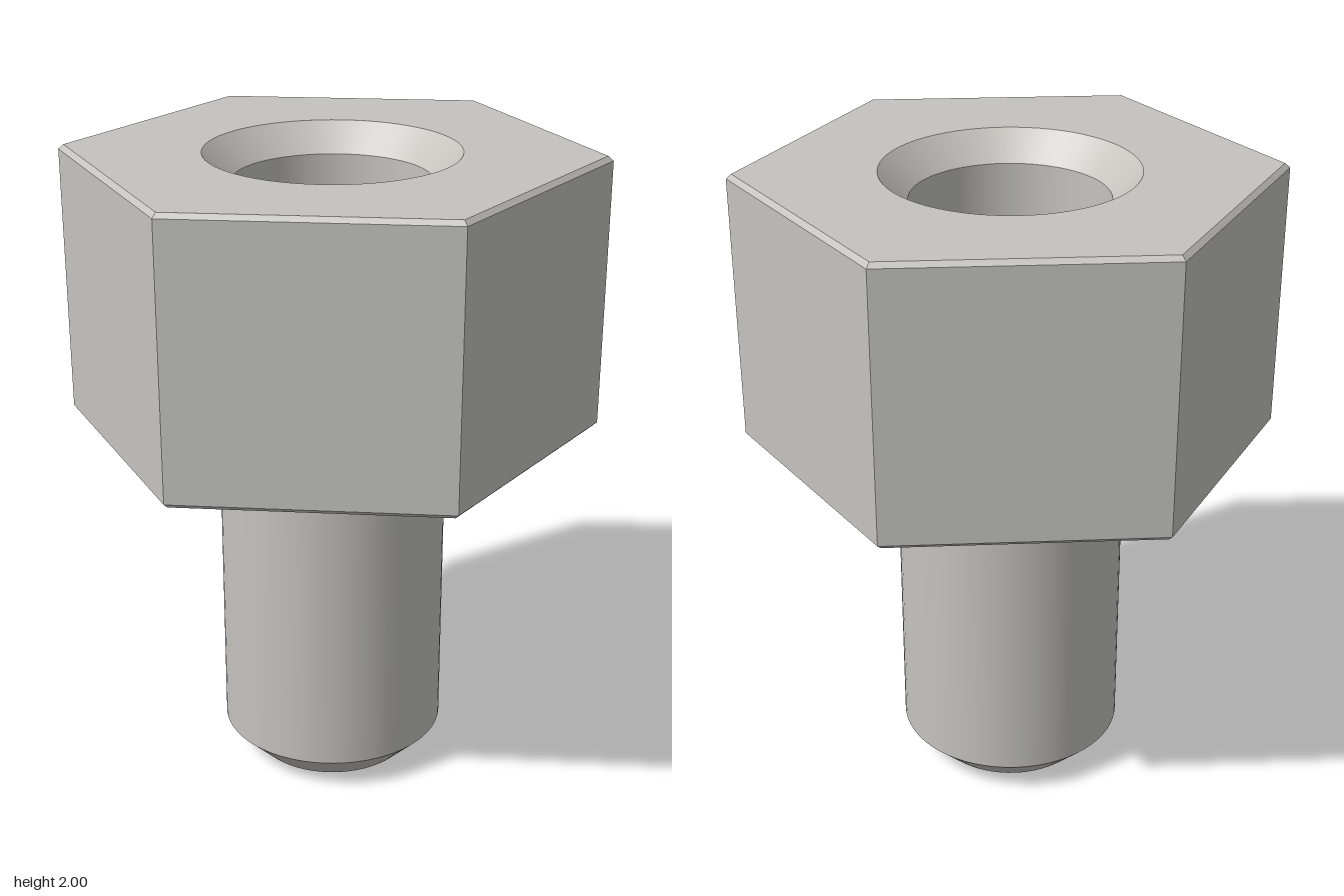
import * as THREE from 'three';
import { mergeGeometries } from 'three/addons/utils/BufferGeometryUtils.js';

// Revolve a profile of [radius, y] points, with a crisp edge at every point.
// Rising profiles face outward, falling ones inward.
function turned(profile, sides = 64) {
  const bands = [];
  for (let i = 0; i < profile.length - 1; i++) {
    const pts = [profile[i], profile[i + 1]].map(([r, y]) => new THREE.Vector2(r, y));
    let band = new THREE.LatheGeometry(pts, sides, Math.PI / 2);
    if (sides === 6) {
      band = band.toNonIndexed();
      band.computeVertexNormals(); // flat hexagon faces
    }
    bands.push(band);
  }
  return mergeGeometries(bands);
}

export function createModel() {
  const group = new THREE.Group();
  const steel = new THREE.MeshStandardMaterial({ color: 0xc4c3be });
  steel.name = 'steel grey';
  const add = (name, geometry) => {
    const mesh = new THREE.Mesh(geometry, steel);
    mesh.name = name;
    group.add(mesh);
    return mesh;
  };

  const R = 0.823, bevel = 0.014, rIn = R - bevel * 1.155;
  const headBottom = 1.147, top = 2;
  const holeR = 0.3, sinkR = 0.387, floorY = 1.25;

  // Hexagonal head: underside, lower bevel, six flats, upper bevel
  add('hexHead', turned([
    [0, headBottom], [rIn, headBottom], [R, headBottom + bevel],
    [R, top - bevel], [rIn, top],
  ], 6));

  // Top face with a round opening
  const face = new THREE.Shape();
  for (let i = 0; i < 6; i++) {
    const a = (i * Math.PI) / 3;
    face[i ? 'lineTo' : 'moveTo'](rIn * Math.cos(a), rIn * Math.sin(a));
  }
  face.closePath();
  face.holes.push(new THREE.Path().absarc(0, 0, sinkR, 0, Math.PI * 2, true));
  const topFace = add('headTopFace', new THREE.ShapeGeometry(face, 32));
  topFace.rotation.x = -Math.PI / 2;
  topFace.position.y = top;

  // Countersunk blind hole
  add('countersunkHole', turned([
    [sinkR, top], [holeR, top - (sinkR - holeR)], [holeR, floorY], [0, floorY],
  ]));

  // Round shank with a chamfered tip
  add('shank', turned([[0, 0], [0.256, 0], [0.356, 0.1], [0.356, headBottom]]));

  return group;
}
